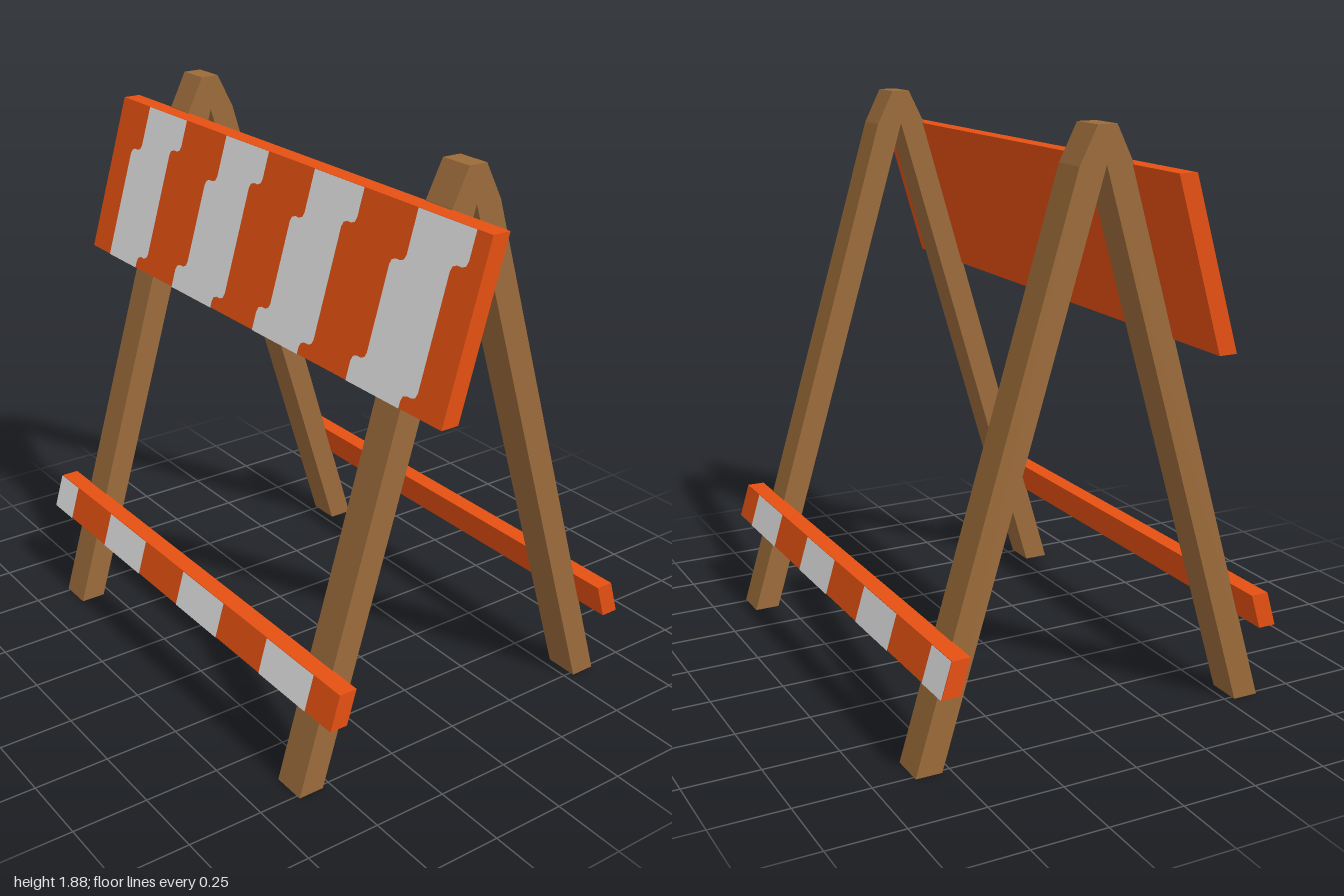
import * as THREE from 'three';

const SLOPE = 0.298; // outward lean of the legs, z per unit of height

const material = (name, color) => {
  const m = new THREE.MeshStandardMaterial({ color });
  m.name = name;
  return m;
};

const shapeFrom = (points) => new THREE.Shape(points.map(([a, b]) => new THREE.Vector2(a, b)));

// Prism with a (z, y) side profile, centred on x = 0
function prism(points, width) {
  const g = new THREE.ExtrudeGeometry(shapeFrom(points), { depth: width, bevelEnabled: false });
  return g.translate(0, 0, -width / 2).rotateY(-Math.PI / 2);
}

// Leaning board: zTop is its front edge at the top
function board(width, yLow, yHigh, zTop, thick) {
  const zLow = zTop + (yHigh - yLow) * SLOPE;
  return prism([[zTop, yHigh], [zTop - thick, yHigh], [zLow - thick, yLow], [zLow, yLow]], width);
}

// Flat (x, y) outline laid just in front of a leaning board
function plate(points, yHigh, zTop) {
  const g = new THREE.ShapeGeometry(shapeFrom(points));
  const p = g.attributes.position;
  for (let i = 0; i < p.count; i++) p.setZ(i, zTop + (yHigh - p.getY(i)) * SLOPE + 0.002);
  g.computeVertexNormals();
  return g;
}

// Rounded step to the left in a stripe edge
function step(x, y) {
  const s = 0.0625, r = 0.021;
  return [[x, y + r], [x - 0.006, y + 0.006], [x - r, y], [x - s + r, y],
    [x - s + 0.006, y - 0.006], [x - s, y - r]];
}

export function createModel() {
  const wood = material('brown wood', 0x9b6b3a);
  const orange = material('safety orange', 0xe65012);
  const white = material('reflective white', 0xe6e6e6);
  const model = new THREE.Group();
  model.name = 'barricade';

  const add = (parent, name, geometry, mat) => {
    const mesh = new THREE.Mesh(geometry, mat);
    mesh.name = name;
    parent.add(mesh);
    return mesh;
  };

  // A-shaped leg frames
  const frame = prism([
    [0.617, 0], [0.09, 1.77], [0.032, 1.885], [-0.032, 1.885], [-0.09, 1.77],
    [-0.617, 0], [-0.53, 0], [0, 1.77], [0.53, 0],
  ], 0.116);
  for (const side of [-1, 1]) {
    add(model, side < 0 ? 'rightLegs' : 'leftLegs', frame, wood).position.x = side * 0.706;
  }

  // Large sign panel with stepped white stripes
  const panel = new THREE.Group();
  panel.name = 'signPanel';
  model.add(panel);
  const top = 1.767, low = 1.238, zPanel = 0.146;
  add(panel, 'panelBoard', board(2, low, top, zPanel, 0.06), orange);
  for (let i = 0; i < 4; i++) {
    const l = -0.8125 + 0.5 * i, r = l + 0.25, s = 0.0625;
    const left = [[l, top], ...step(l, 1.615)];
    if (i > 0) left.push(...step(l - s, 1.318), [l - 2 * s, low]);
    else left.push([l - s, low]);
    const right = [[r, top], ...step(r, 1.66), ...step(r - s, 1.28), [r - 2 * s, low]];
    add(panel, 'panelStripe', plate([...left, ...right.reverse()], top, zPanel), white);
  }

  // Lower rails, front and back, with alternating white blocks
  const railTop = 0.412, railLow = 0.297, zRail = 0.552;
  const blocks = [[-0.88, -0.75], [-0.5, -0.25], [0, 0.25], [0.5, 0.75]];
  for (const back of [false, true]) {
    const rail = new THREE.Group();
    rail.name = back ? 'backRail' : 'frontRail';
    if (back) rail.rotation.y = Math.PI;
    model.add(rail);
    add(rail, 'railBoard', board(1.76, railLow, railTop, zRail, 0.06), orange);
    for (const [a, b] of blocks) {
      const [x0, x1] = back ? [-b, -a] : [a, b];
      const outline = [[x0, railLow], [x1, railLow], [x1, railTop], [x0, railTop]];
      add(rail, 'railStripe', plate(outline, railTop, zRail), white);
    }
  }
  return model;
}
